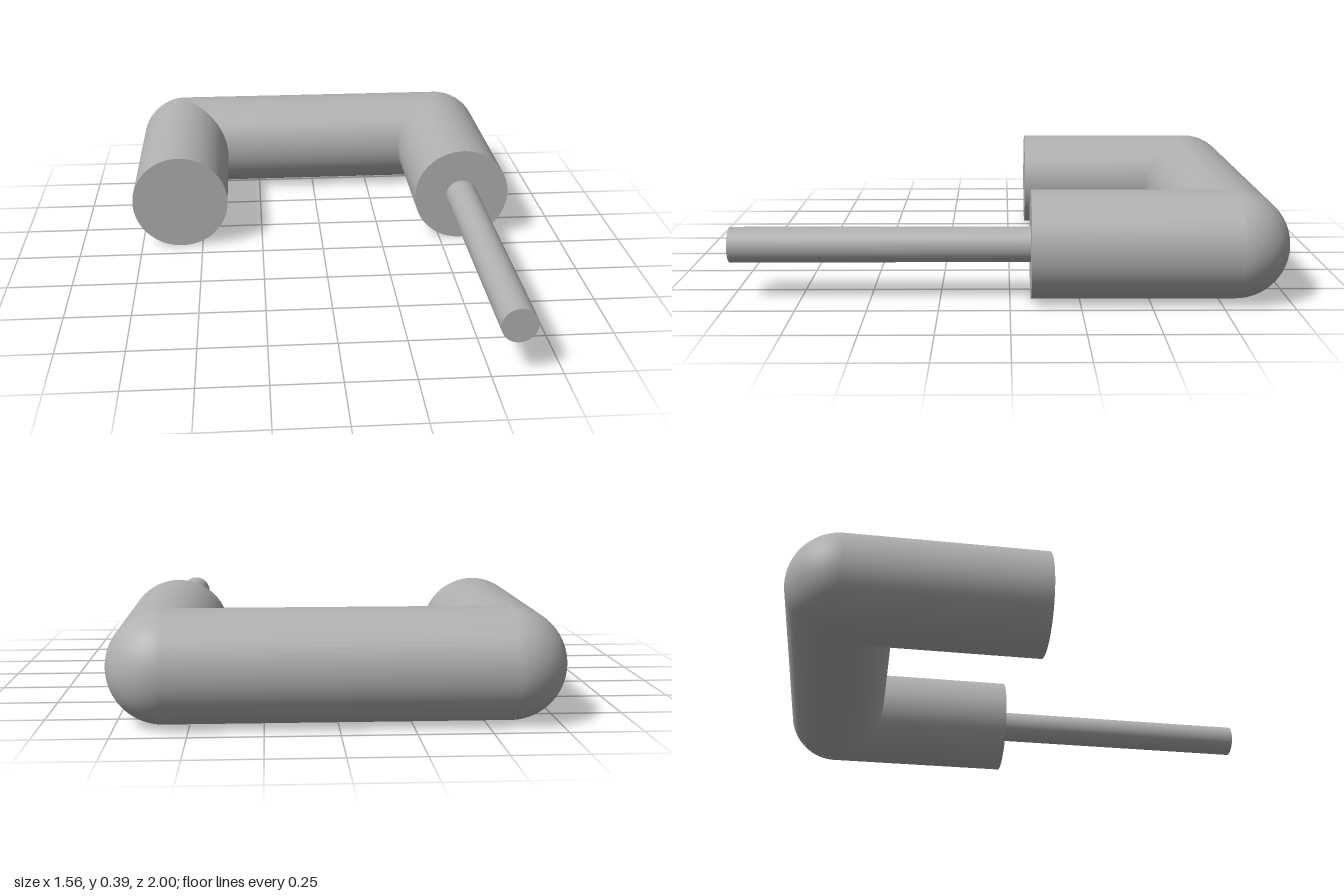
import * as THREE from 'three';

const R = 0.195;          // thick bar radius
const X = 0.585;          // leg axis offset
const BACK = -0.805;      // crossbar axis depth
const LEG_FRONT = -0.075; // flat face of the legs
const ROD_R = 0.064;
const SEG = 64;

export function createModel() {
  const group = new THREE.Group();
  const steel = new THREE.MeshStandardMaterial({ color: 0xb0b0b0 });
  steel.name = 'steel grey';

  const add = (name, geometry, x, z) => {
    const mesh = new THREE.Mesh(geometry, steel);
    mesh.name = name;
    mesh.position.set(x, R, z);
    group.add(mesh);
  };

  // Open cylinder along z, from z = 0 to z = length
  const tube = (radius, length) =>
    new THREE.CylinderGeometry(radius, radius, length, SEG, 1, true)
      .rotateX(Math.PI / 2).translate(0, 0, length / 2);

  // Crossbar, mitred on its inner side at both ends
  const bar = new THREE.CylinderGeometry(R, R, 2 * X, SEG, 1, true).rotateZ(Math.PI / 2);
  const bp = bar.attributes.position;
  for (let i = 0; i < bp.count; i++) {
    bp.setX(i, Math.sign(bp.getX(i)) * (X - Math.max(0, bp.getZ(i))));
  }
  add('crossbar', bar, 0, BACK);

  for (const side of [-1, 1]) {
    const label = side > 0 ? 'left' : 'right';

    // Leg, mitred to meet the crossbar
    const leg = tube(R, LEG_FRONT - BACK);
    const lp = leg.attributes.position;
    for (let i = 0; i < lp.count; i++) {
      if (lp.getZ(i) < 0.01) lp.setZ(i, Math.max(0, -side * lp.getX(i)));
    }
    add(label + 'Leg', leg, side * X, BACK);
    add(label + 'LegEnd', new THREE.CircleGeometry(R, SEG), side * X, LEG_FRONT);

    // Rounded outer corner: a quarter of a sphere
    const start = side > 0 ? Math.PI : Math.PI * 1.5;
    add(label + 'Corner', new THREE.SphereGeometry(R, 24, 48, start, Math.PI / 2), side * X, BACK);
  }

  // Thin rod out of the left leg
  add('rod', tube(ROD_R, 1 - LEG_FRONT), X, LEG_FRONT);
  add('rodEnd', new THREE.CircleGeometry(ROD_R, SEG), X, 1);

  return group;
}
